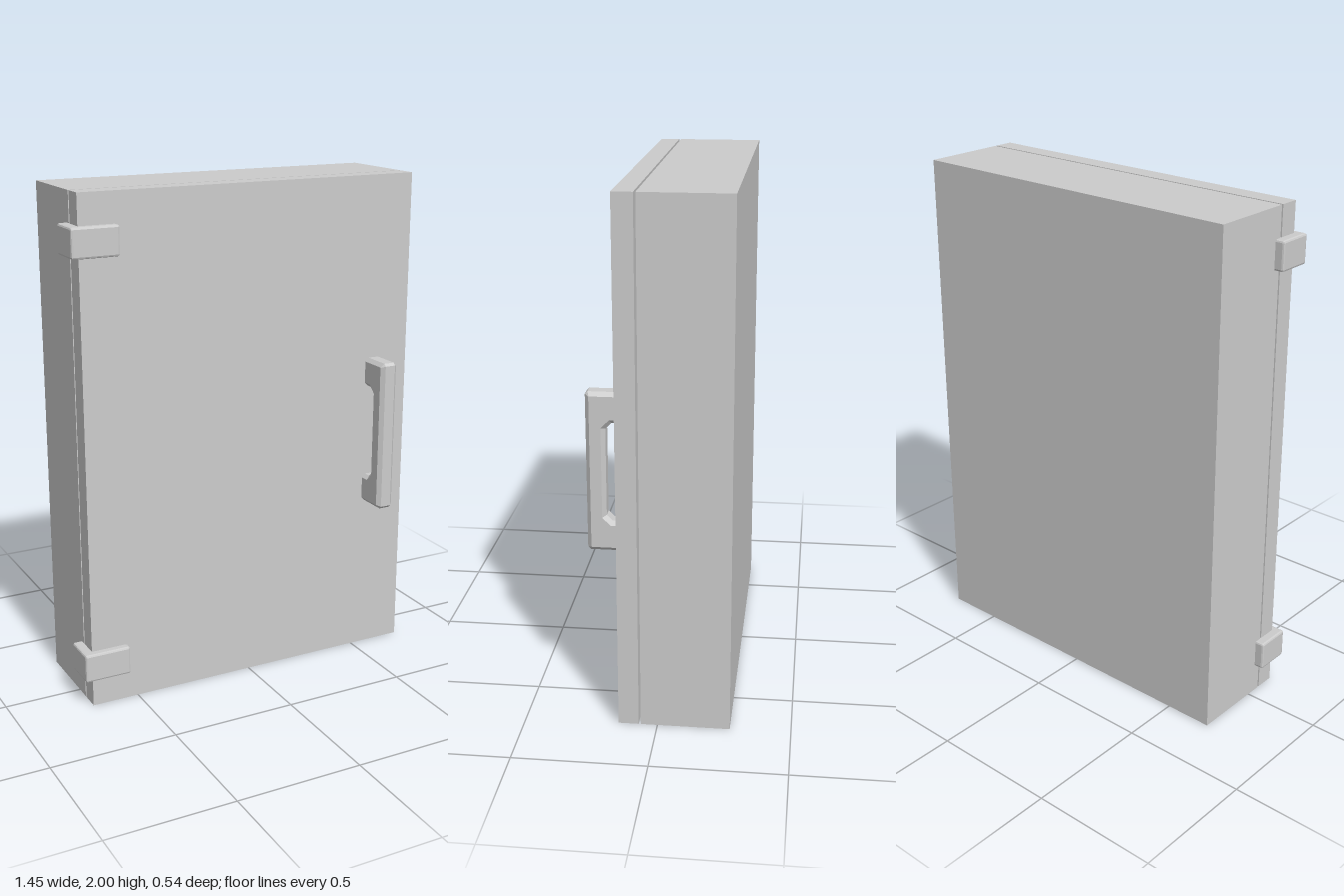
import * as THREE from 'three';
import { RoundedBoxGeometry } from 'three/addons/geometries/RoundedBoxGeometry.js';

const material = new THREE.MeshStandardMaterial({ color: 0xcccccc, flatShading: true });

// Place a geometry centred between two opposite corners
function addPart(group, name, geometry, min, max) {
  const mesh = new THREE.Mesh(geometry, material);
  mesh.name = name;
  mesh.position.set(...min.map((v, i) => (v + max[i]) / 2));
  group.add(mesh);
}

function addBox(group, name, min, max, bevel = 0) {
  const size = max.map((v, i) => v - min[i]);
  const geometry = bevel
    ? new RoundedBoxGeometry(...size, 1, bevel)
    : new THREE.BoxGeometry(...size);
  addPart(group, name, geometry, min, max);
}

// Bracket handle: C-shaped side profile extruded across its width, legs sunk into the door
function handleGeometry(width, bevel) {
  const half = 0.3075, front = 0.272, back = 0.12, grip = 0.2, open = 0.19, c = 0.022, o = 0.01;
  const profile = new THREE.Shape([
    [back, -half], [front - o, -half], [front, -half + o],
    [front, half - o], [front - o, half], [back, half],
    [back, open], [grip - c, open], [grip, open - c],
    [grip, -open + c], [grip - c, -open], [back, -open],
  ].map(([z, y]) => new THREE.Vector2(z, y)));
  const geometry = new THREE.ExtrudeGeometry(profile, {
    depth: width - 2 * bevel, bevelEnabled: true, bevelSegments: 1,
    bevelSize: bevel, bevelThickness: bevel, bevelOffset: -bevel,
  });
  geometry.translate(0, 0, -(width - 2 * bevel) / 2);
  return geometry.rotateY(-Math.PI / 2);
}

export function createModel() {
  const model = new THREE.Group();
  model.name = 'wallCabinet';

  // Body and door, separated by a thin gap
  addBox(model, 'cabinetBody', [-0.69, 0, -0.272], [0.727, 2, 0.063]);
  addBox(model, 'door', [-0.69, 0, 0.071], [0.727, 2, 0.147]);

  // Hinges wrapping the edge of the door
  for (const [name, y] of [['lowerHinge', 0.175], ['upperHinge', 1.825]]) {
    addBox(model, name, [-0.727, y - 0.057, 0.035], [-0.54, y + 0.057, 0.177], 0.008);
  }

  // Pull handle
  const handle = new THREE.Mesh(handleGeometry(0.074, 0.015), material);
  handle.name = 'handle';
  handle.position.set(0.571, 0.957, 0);
  model.add(handle);

  return model;
}
